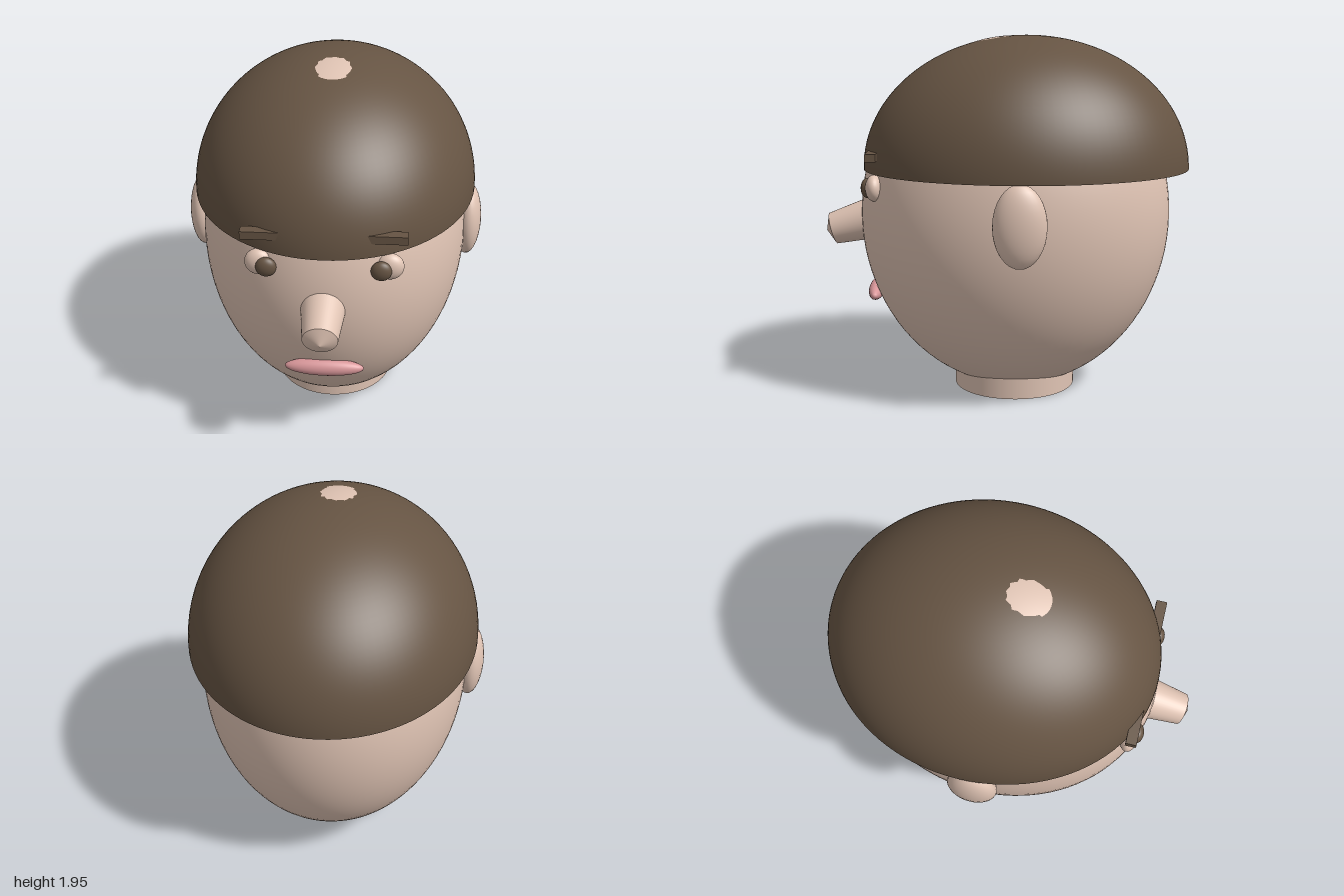
import * as THREE from 'three';

export function createModel() {
  const model = new THREE.Group();
  const skin = new THREE.MeshStandardMaterial({ color: 0xe0c4b4 });
  const brown = new THREE.MeshStandardMaterial({ color: 0x665443 });
  const hairBrown = brown.clone();
  hairBrown.side = THREE.DoubleSide;
  const lips = new THREE.MeshStandardMaterial({ color: 0xd9979a });
  skin.name = 'skin';
  brown.name = 'brown';
  hairBrown.name = 'hair brown';
  lips.name = 'lip pink';

  const add = (name, geometry, material, x, y, z, parent = model) => {
    const mesh = new THREE.Mesh(geometry, material);
    mesh.name = name;
    mesh.position.set(x, y, z);
    parent.add(mesh);
    return mesh;
  };
  const ellipsoid = (rx, ry, rz, detail = 32) =>
    new THREE.SphereGeometry(1, detail, detail / 2).scale(rx, ry, rz);

  // Neck and head
  add('neck', new THREE.CylinderGeometry(0.335, 0.335, 0.3, 64), skin, 0, 0.15, -0.045);
  add('head', ellipsoid(0.72, 0.97, 0.85, 96), skin, 0, 0.973, -0.05);

  // Hair: open half shell; the crown of the head just breaks through it
  const cap = new THREE.SphereGeometry(1, 96, 32, 0, Math.PI * 2, 0, Math.PI / 2);
  cap.scale(0.763, 0.72, 0.892);
  add('hair', cap, hairBrown, 0, 1.225, -0.108);

  // Nose: tapered and tilted down, with a shallow conical tip
  const nose = new THREE.Group();
  nose.name = 'nose';
  nose.position.set(0, 0.885, 0.9625);
  nose.rotation.x = Math.PI / 2 + 0.26;
  model.add(nose);
  add('noseBridge', new THREE.CylinderGeometry(0.088, 0.125, 0.3, 48, 1, true), skin, 0, -0.15, 0, nose);
  add('noseTip', new THREE.ConeGeometry(0.088, 0.038, 48, 1, true), skin, 0, 0.019, 0, nose);

  // Mouth
  add('mouth', ellipsoid(0.205, 0.047, 0.045), lips, 0, 0.543, 0.725);

  // Paired features
  for (const [side, s] of [['left', 1], ['right', -1]]) {
    add(side + 'Ear', ellipsoid(0.075, 0.21, 0.135), skin, s * 0.735, 1.02, -0.045);
    add(side + 'Eyeball', ellipsoid(0.07, 0.07, 0.045), skin, s * 0.322, 1.155, 0.7);
    add(side + 'Pupil', ellipsoid(0.052, 0.052, 0.032), brown, s * 0.281, 1.15, 0.741);
    add(side + 'Eyebrow', new THREE.BoxGeometry(0.205, 0.042, 0.056), brown, s * 0.3025, 1.319, 0.709);
  }

  return model;
}
